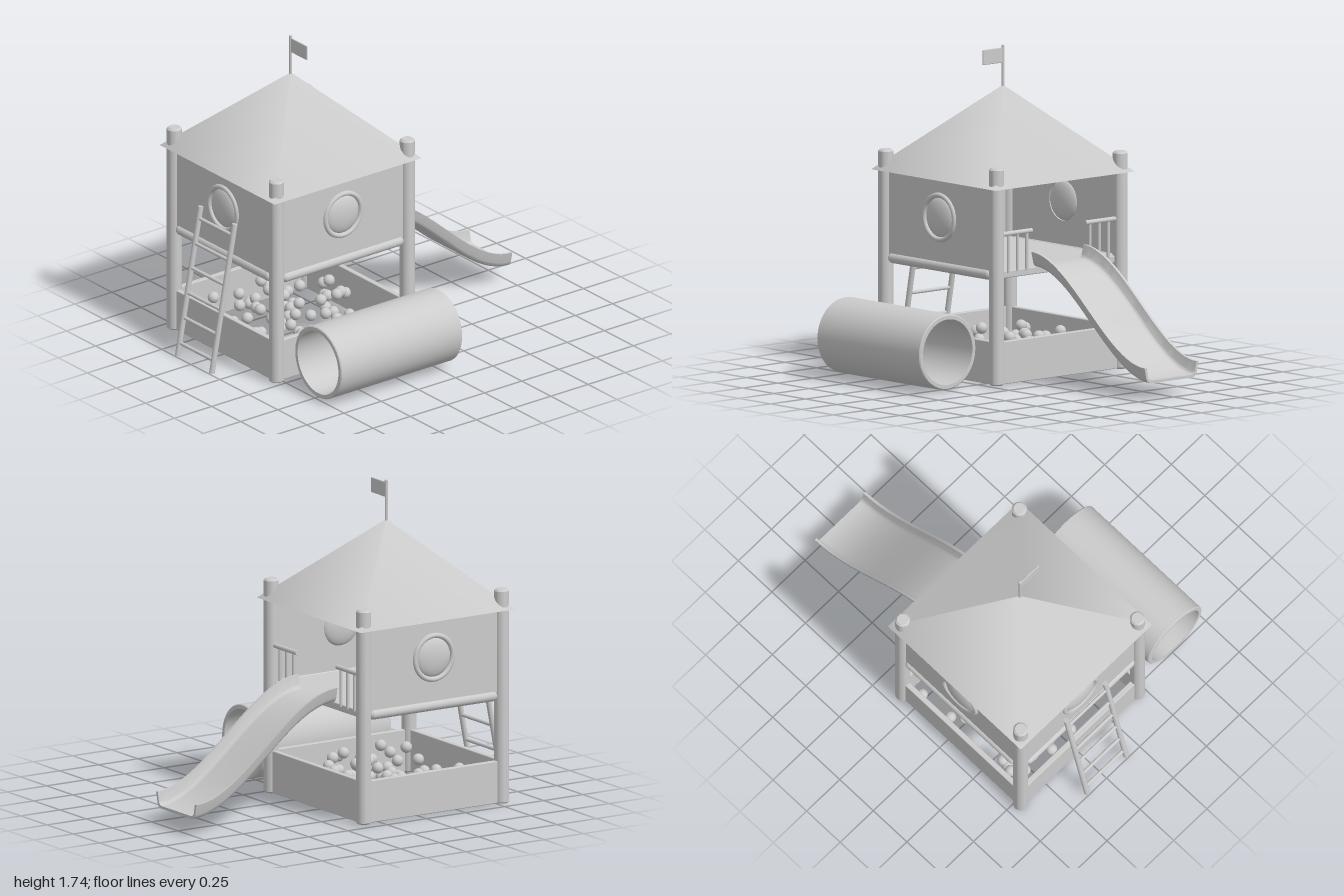
import * as THREE from 'three';
import { toCreasedNormals } from 'three/addons/utils/BufferGeometryUtils.js';
import { RoundedBoxGeometry } from 'three/addons/geometries/RoundedBoxGeometry.js';

const grey = new THREE.MeshStandardMaterial({ color: 0xcccccc });
const greyDouble = new THREE.MeshStandardMaterial({ color: 0xcccccc, side: THREE.DoubleSide });

function add(parent, name, geometry, x = 0, y = 0, z = 0, material = grey) {
  const mesh = new THREE.Mesh(geometry, material);
  mesh.name = name;
  mesh.position.set(x, y, z);
  parent.add(mesh);
  return mesh;
}

// Round bar between two points
function bar(parent, name, a, b, radius, sides = 12) {
  const from = new THREE.Vector3(...a), to = new THREE.Vector3(...b);
  const dir = to.clone().sub(from);
  const mesh = add(parent, name, new THREE.CylinderGeometry(radius, radius, dir.length(), sides));
  mesh.position.copy(from).add(to).multiplyScalar(0.5);
  mesh.quaternion.setFromUnitVectors(new THREE.Vector3(0, 1, 0), dir.normalize());
  return mesh;
}

function lathe(points, sides) {
  return toCreasedNormals(new THREE.LatheGeometry(points.map(p => new THREE.Vector2(...p)), sides), 0.6);
}

// Upper wall with a round window hole
function windowPanel() {
  const shape = new THREE.Shape([[-0.41, 0.61], [0.41, 0.61], [0.41, 1.06], [-0.41, 1.06]]
    .map(p => new THREE.Vector2(...p)));
  const hole = new THREE.Path();
  hole.absarc(0, 0.855, 0.11, 0, Math.PI * 2, true);
  shape.holes.push(hole);
  const g = new THREE.ExtrudeGeometry(shape, { depth: 0.024, bevelEnabled: false, curveSegments: 32 });
  return toCreasedNormals(g.translate(0, 0, -0.012), 0.6);
}

function createTower() {
  const tower = new THREE.Group();
  tower.name = 'tower';
  const half = 0.44;

  // Corner posts with softened ends
  const postGeo = lathe([[0, 0.005], [0.032, 0.005], [0.04, 0.013], [0.04, 1.16], [0.03, 1.17], [0, 1.17]], 28);
  for (const x of [-half, half]) for (const z of [-half, half]) add(tower, 'post', postGeo, x, 0, z);

  // Four sides: low pit wall everywhere, window wall and beam on all but the back
  ['front', 'left', 'back', 'right'].forEach((label, i) => {
    const side = new THREE.Group();
    side.name = label + 'Side';
    side.rotation.y = i * Math.PI / 2;
    tower.add(side);
    add(side, 'pitWall', new RoundedBoxGeometry(0.82, 0.23, 0.03, 2, 0.005), 0, 0.122, half);
    if (label === 'back') return;
    add(side, 'windowWall', windowPanel(), 0, 0, half);
    add(side, 'windowRing', new THREE.TorusGeometry(0.119, 0.014, 12, 48), 0, 0.855, half + 0.012);
    add(side, 'windowDome', new THREE.SphereGeometry(0.11, 32, 20), 0, 0.855, half).scale.z = 0.33;
    const beam = add(side, 'beam', new THREE.CapsuleGeometry(0.028, 0.76, 6, 20), 0, 0.592, half);
    beam.rotation.z = Math.PI / 2;
  });

  add(tower, 'platform', new RoundedBoxGeometry(0.87, 0.04, 0.88, 2, 0.006), 0, 0.592, 0);

  // Guard rails either side of the slide opening
  for (const s of [-1, 1]) {
    bar(tower, 'guardRail', [s * 0.19, 0.81, -half], [s * 0.43, 0.81, -half], 0.013);
    for (const x of [0.225, 0.29, 0.355]) bar(tower, 'guardBaluster', [s * x, 0.6, -half], [s * x, 0.81, -half], 0.009);
  }

  // Open pyramid roof
  const roofGeo = new THREE.ConeGeometry(0.495 * Math.SQRT2, 0.46, 4, 1, true).rotateY(Math.PI / 4);
  add(tower, 'roof', roofGeo, 0, 1.29, 0, greyDouble);

  // Flag
  bar(tower, 'flagPole', [0, 1.49, 0], [0, 1.73, 0], 0.008);
  add(tower, 'flagPoleTip', new THREE.SphereGeometry(0.009, 12, 8), 0, 1.728, 0);
  add(tower, 'flag', new RoundedBoxGeometry(0.14, 0.082, 0.008, 2, 0.004), 0.073, 1.68, 0);
  return tower;
}

// Balls scattered in the pit
function createBalls() {
  const balls = new THREE.Group();
  balls.name = 'balls';
  let seed = 11;
  const random = () => (seed = (seed * 16807) % 2147483647) / 2147483647;
  const geo = new THREE.SphereGeometry(0.031, 16, 12);
  for (let i = 0; i < 70; i++) {
    add(balls, 'ball', geo, (random() - 0.5) * 0.76, 0.05 + random() * 0.14, (random() - 0.5) * 0.76);
  }
  return balls;
}

function createLadder() {
  const ladder = new THREE.Group();
  ladder.name = 'ladder';
  const depthAt = y => 0.985 - 0.155 * y / 0.825;
  for (const x of [-0.147, 0.147]) {
    bar(ladder, 'ladderRail', [x, 0.003, depthAt(0)], [x, 0.825, depthAt(0.825)], 0.015, 16);
  }
  for (const y of [0.073, 0.213, 0.35, 0.487, 0.623, 0.76]) {
    bar(ladder, 'rung', [-0.147, y, depthAt(y)], [0.147, y, depthAt(y)], 0.01);
  }
  return ladder;
}

// Straight gutter bent into an S by lowering it along its length
function createSlide() {
  const s = new THREE.Shape();
  s.moveTo(-0.192, 0.085);
  s.lineTo(-0.18, 0.03);
  s.quadraticCurveTo(-0.172, 0, -0.14, 0);
  s.lineTo(0.14, 0);
  s.quadraticCurveTo(0.172, 0, 0.18, 0.03);
  s.lineTo(0.192, 0.085);
  s.lineTo(0.177, 0.085);
  s.lineTo(0.166, 0.034);
  s.quadraticCurveTo(0.16, 0.015, 0.138, 0.015);
  s.lineTo(-0.138, 0.015);
  s.quadraticCurveTo(-0.16, 0.015, -0.166, 0.034);
  s.lineTo(-0.177, 0.085);
  const length = 0.9;
  const g = new THREE.ExtrudeGeometry(s, { depth: length, steps: 36, bevelEnabled: false, curveSegments: 6 });
  const p = g.attributes.position;
  for (let i = 0; i < p.count; i++) {
    const t = 1 - p.getZ(i) / length;
    p.setY(i, p.getY(i) + 0.61 - 0.52 * t * t * (3 - 2 * t));
  }
  return toCreasedNormals(g.translate(0, 0, -1), 0.6);
}

// Hollow crawl tube
function createTunnel() {
  const h = 0.408;
  const profile = [[0.176, -h], [0.196, -h], [0.201, -h + 0.005], [0.201, h - 0.005], [0.196, h], [0.176, h], [0.176, -h]];
  return lathe(profile, 56).rotateX(Math.PI / 2);
}

export function createModel() {
  const model = new THREE.Group();
  model.name = 'playhouse';
  const cx = -0.235, cz = 0.34;

  const tower = createTower();
  tower.add(createBalls());
  tower.position.set(cx, 0, cz);
  model.add(tower);

  const ladder = createLadder();
  ladder.position.x = cx;
  model.add(ladder);

  add(model, 'slide', createSlide(), cx, 0, 0);
  add(model, 'tunnel', createTunnel(), 0.523, 0.212, 0.34);
  return model;
}
